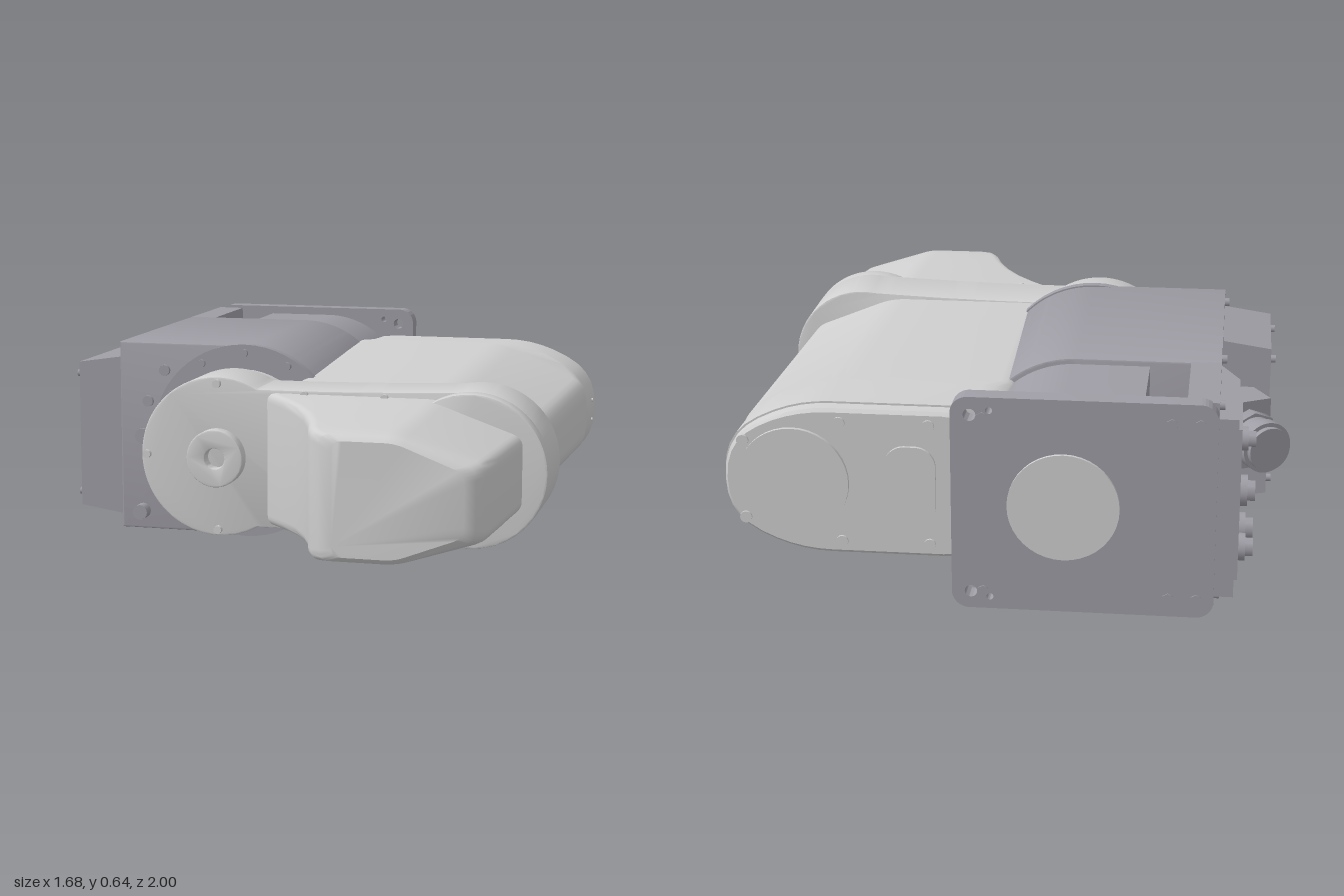
import * as THREE from 'three';
import { toCreasedNormals } from 'three/addons/utils/BufferGeometryUtils.js';

const CY = 0.33; // height of the main axis
const HUB = -0.2; // x of the main axis

export function createModel() {
  const root = new THREE.Group();
  const mat = (name, color) => Object.assign(new THREE.MeshStandardMaterial({ color }), { name });
  const light = mat('light grey shell', 0xcfcfcf);
  const base = mat('purple grey casting', 0x9e9ca4);

  const add = (name, geo, material, parent = root) => {
    const m = new THREE.Mesh(geo, material);
    m.name = name;
    parent.add(m);
    return m;
  };
  const box = (name, x0, x1, y0, y1, z0, z1, material, parent) => {
    const g = new THREE.BoxGeometry(x1 - x0, y1 - y0, z1 - z0);
    g.translate((x0 + x1) / 2, (y0 + y1) / 2, (z0 + z1) / 2);
    return add(name, g, material, parent);
  };
  const discZ = (name, x, y, r, z0, z1, material, parent, n = 40) => {
    const g = new THREE.CylinderGeometry(r, r, z1 - z0, n).rotateX(Math.PI / 2);
    g.translate(x, y, (z0 + z1) / 2);
    return add(name, g, material, parent);
  };
  const discX = (name, y, z, r, x0, x1, material, n = 24) => {
    const g = new THREE.CylinderGeometry(r, r, x1 - x0, n).rotateZ(Math.PI / 2);
    g.translate((x0 + x1) / 2, y, z);
    return add(name, g, material);
  };
  const extrude = (shape, z0, z1, bevel = 0) => {
    const g = new THREE.ExtrudeGeometry(shape, {
      depth: z1 - z0 - 2 * bevel, curveSegments: 28, bevelEnabled: bevel > 0,
      bevelSize: bevel, bevelOffset: -bevel, bevelThickness: bevel, bevelSegments: 2,
    });
    g.translate(0, 0, z0 + bevel);
    return toCreasedNormals(g, 0.5);
  };
  const roundRect = (x0, x1, y0, y1, r) => {
    const s = new THREE.Shape();
    s.absarc(x1 - r, y0 + r, r, -Math.PI / 2, 0);
    s.absarc(x1 - r, y1 - r, r, 0, Math.PI / 2);
    s.absarc(x0 + r, y1 - r, r, Math.PI / 2, Math.PI);
    s.absarc(x0 + r, y0 + r, r, Math.PI, Math.PI * 1.5);
    return s;
  };
  // Flat on the left, half round on the right
  const dShape = (x0, r) => {
    const s = new THREE.Shape();
    s.moveTo(x0, CY - r);
    s.lineTo(HUB, CY - r);
    s.absarc(HUB, CY, r, -Math.PI / 2, Math.PI / 2);
    s.lineTo(x0, CY + r);
    s.closePath();
    return s;
  };

  // Cross-section: square on the left, bevelled on the right, corners rounded
  const section = ([z, x0, x1, xs, h, hs, r]) => {
    const c = [[x0, -h], [xs, -h], [x1, -hs], [x1, hs], [xs, h], [x0, h]].map((p) => new THREE.Vector2(...p));
    const out = [];
    c.forEach((p, i) => {
      const toward = (q) => p.clone().add(q.clone().sub(p).setLength(Math.min(r, q.distanceTo(p) * 0.48)));
      const curve = new THREE.QuadraticBezierCurve(toward(c[(i + 5) % 6]), p, toward(c[(i + 1) % 6]));
      for (const q of curve.getPoints(5)) out.push([q.x, q.y + CY, z]);
    });
    return out;
  };
  const loft = (rows) => {
    const rings = rows.map(section), n = rings[0].length, idx = [];
    const pos = rings.flat();
    for (let i = 0; i < rings.length - 1; i++) {
      for (let j = 0; j < n; j++) {
        const a = i * n + j, b = i * n + (j + 1) % n;
        idx.push(a, b, b + n, a, b + n, a + n);
      }
    }
    const last = (rings.length - 1) * n;
    for (let j = 1; j < n - 1; j++) idx.push(0, j + 1, j, last, last + j, last + j + 1);
    const g = new THREE.BufferGeometry();
    g.setAttribute('position', new THREE.Float32BufferAttribute(pos.flat(), 3));
    g.setIndex(idx);
    return toCreasedNormals(g, 0.6);
  };

  // Base casting: main body, pocketed rear and mounting plate
  add('baseBody', extrude(dShape(-0.63, 0.31), -0.6, 0.16, 0.006), base);
  add('baseRearCore', extrude(dShape(-0.42, 0.293), -0.94, -0.59), base);
  box('baseRearWall', -0.63, -0.54, 0.02, 0.64, -0.94, -0.59, base);
  box('pocketFloor', -0.55, -0.41, 0.17, 0.49, -0.94, -0.59, base);
  const plate = roundRect(-0.63, 0.12, 0.005, 0.65, 0.05);
  for (const s of [-1, 1]) {
    for (const [x, y, r] of [[0.065, 0.27, 0.018], [0.01, 0.285, 0.01]]) {
      plate.holes.push(new THREE.Path().absarc(x, CY - 0.003 + s * y, r, 0, Math.PI * 2, true));
    }
  }
  add('mountingPlate', extrude(plate, -0.99, -0.93), base);
  discZ('plateCover', HUB, CY, 0.16, -1, -0.98, light);
  for (const x of [-0.58, -0.5, 0.03]) {
    for (const y of [0.06, 0.59]) discZ('plateBolt', x, y, 0.017, -0.994, -0.98, base, root, 6);
  }

  // Rotating joint between base and arm
  discZ('jointFlange', HUB, CY, 0.315, 0.14, 0.17, base, root, 56);
  discZ('jointNeck', HUB, CY, 0.235, 0.16, 0.26, light, root, 48);
  const boltRing = (name, r, count, z0, z1, from, span, material) => {
    for (let i = 0; i < count; i++) {
      const a = from + (span * i) / count;
      discZ(name, HUB + r * Math.cos(a), CY + r * Math.sin(a), 0.013, z0, z1, material, root, 10);
    }
  };
  boltRing('flangeBolt', 0.288, 12, 0.165, 0.183, 0, Math.PI * 2, base);
  for (let i = -2; i <= 2; i++) {
    const a = Math.PI + i * 0.34;
    discZ('baseFrontBolt', HUB + 0.352 * Math.cos(a), CY + 0.352 * Math.sin(a), i ? 0.018 : 0.026, 0.15, 0.172, base, root, 16);
  }
  discZ('frontPlug', -0.555, 0.08, 0.025, 0.14, 0.2, base, root, 16);

  // Arm, with its fuller rear end
  add('arm', loft([
    [-0.835, -0.04, 0.81, 0.6, 0.235, 0.125, 0.11],
    [-0.67, -0.04, 0.808, 0.59, 0.243, 0.12, 0.11],
    [-0.63, -0.03, 0.802, 0.5, 0.243, 0.11, 0.05],
    [0.27, -0.02, 0.775, 0.5, 0.212, 0.1, 0.05],
  ]), light);
  add('armEndCap', loft([
    [-0.875, 0.05, 0.795, 0.6, 0.215, 0.115, 0.11],
    [-0.865, 0.04, 0.803, 0.6, 0.225, 0.12, 0.11],
    [-0.83, 0.04, 0.805, 0.6, 0.23, 0.122, 0.11],
  ]), light);
  discZ('capRoundCover', 0.6, CY, 0.165, -0.887, -0.87, light);
  add('capSlotCover', extrude(roundRect(0.18, 0.33, 0.21, 0.45, 0.06), -0.885, -0.87), light);
  for (const s of [-1, 1]) {
    for (const [x, y] of [[0.2, 0.185], [0.46, 0.185], [0.745, 0.12]]) {
      discZ('capBolt', x, CY + s * y, 0.018, -0.882, -0.87, light, root, 12);
    }
    discX('sideDot', CY + s * 0.035, -0.77, 0.006, 0.8, 0.812, light, 8);
  }

  // Link band joining the hub circle to the arm circle
  const band = new THREE.Shape();
  const A = Math.PI / 3, B = (100 * Math.PI) / 180;
  band.absarc(HUB, CY, 0.25, A, Math.PI * 2 - A);
  band.quadraticCurveTo(0.2, CY - 0.215, 0.6 + 0.235 * Math.cos(B), CY - 0.235 * Math.sin(B));
  band.absarc(0.6, CY, 0.235, -B, B);
  band.quadraticCurveTo(0.2, CY + 0.215, HUB + 0.25 * Math.cos(A), CY + 0.25 * Math.sin(A));
  add('linkBand', extrude(band, 0.25, 0.46, 0.005), light);
  const dome = new THREE.Shape();
  dome.absarc(0.6, CY, 0.234, -2.1, 2.1);
  dome.closePath();
  add('linkBandStep', extrude(dome, 0.45, 0.51, 0.005), light);
  const hub = new THREE.Shape().absarc(HUB, CY, 0.09, 0, Math.PI * 2);
  hub.holes.push(new THREE.Path().absarc(HUB, CY, 0.032, 0, Math.PI * 2, true));
  add('hubCap', extrude(hub, 0.455, 0.5, 0.004), light);
  boltRing('bandBolt', 0.23, 3, 0.455, 0.475, Math.PI / 2, Math.PI * 1.5, light);
  for (const x of [0.08, 0.33]) {
    for (const s of [-1, 1]) discZ('bandBolt', x, CY + s * 0.205, 0.012, 0.455, 0.475, light, root, 10);
  }

  // Wrist cover, curving in towards its blunt tip
  add('wristCover', loft([
    [0.44, -0.05, 0.762, 0.5, 0.207, 0.11, 0.03],
    [0.46, -0.04, 0.76, 0.49, 0.207, 0.11, 0.03],
    [0.54, 0.03, 0.757, 0.49, 0.204, 0.11, 0.03],
    [0.63, 0.095, 0.75, 0.49, 0.2, 0.11, 0.03],
    [0.72, 0.145, 0.745, 0.49, 0.197, 0.11, 0.03],
    [0.82, 0.185, 0.738, 0.485, 0.193, 0.11, 0.03],
    [0.91, 0.21, 0.732, 0.48, 0.189, 0.11, 0.03],
    [0.955, 0.23, 0.725, 0.48, 0.186, 0.107, 0.03],
    [0.985, 0.26, 0.705, 0.48, 0.18, 0.1, 0.03],
    [1.0, 0.3, 0.675, 0.48, 0.165, 0.09, 0.03],
  ]), light);

  // Tapered side box
  const sideGeo = new THREE.BoxGeometry(0.16, 0.53, 0.37).toNonIndexed();
  const p = sideGeo.attributes.position;
  for (let i = 0; i < p.count; i++) if (p.getX(i) < 0) p.setY(i, p.getY(i) * 0.91);
  sideGeo.computeVertexNormals();
  sideGeo.translate(-0.7, 0.325, -0.045);
  add('sideBox', sideGeo, base);
  for (const y of [0.125, 0.525]) {
    for (const z of [-0.2, 0.11]) discX('sideBoxBolt', y, z, 0.012, -0.795, -0.775, base, 10);
  }

  // Connector panel with a sloping front edge
  const panel = new THREE.Shape([[-0.62, 0.96], [-0.685, 0.96], [-0.685, 0.62], [-0.63, 0.5], [-0.62, 0.5]]
    .map(([x, y]) => new THREE.Vector2(x, y)));
  add('connectorPanel', extrude(panel, 0.06, 0.6).rotateX(-Math.PI / 2), base);
  box('panelPlate', -0.695, -0.68, 0.1, 0.56, -0.93, -0.65, base);
  for (const [y, z, r] of [[0.35, -0.86, 0.045], [0.45, -0.71, 0.035], [0.17, -0.85, 0.04], [0.17, -0.71, 0.045]]) {
    discX('socketCollar', y, z, r, -0.715, -0.69, base);
    discX('socketPlug', y, z, r * 0.7, -0.737, -0.71, base, 8);
  }
  for (const y of [0.04, 0.62]) {
    for (const z of [-0.9, -0.5, 0.08]) discX('wallBolt', y, z, 0.013, -0.645, -0.625, base, 10);
  }

  // Angled cable connector
  const plug = new THREE.Group();
  plug.name = 'cableConnector';
  plug.position.set(-0.655, CY, -0.25);
  plug.rotation.y = Math.atan2(-0.48, -0.88);
  root.add(plug);
  box('connectorBlock', -0.075, 0.075, -0.11, 0.11, 0, 0.13, base, plug);
  discZ('connectorBody', 0, 0, 0.085, 0.12, 0.17, base, plug, 8);
  discZ('connectorCollar', 0, 0, 0.072, 0.16, 0.23, base, plug);
  discZ('connectorRing', 0, 0, 0.08, 0.21, 0.25, base, plug);
  discZ('connectorCap', 0, 0, 0.068, 0.24, 0.268, base, plug);
  box('connectorFoot', -0.66, -0.62, 0.18, 0.48, -0.44, -0.22, base);

  return root;
}
